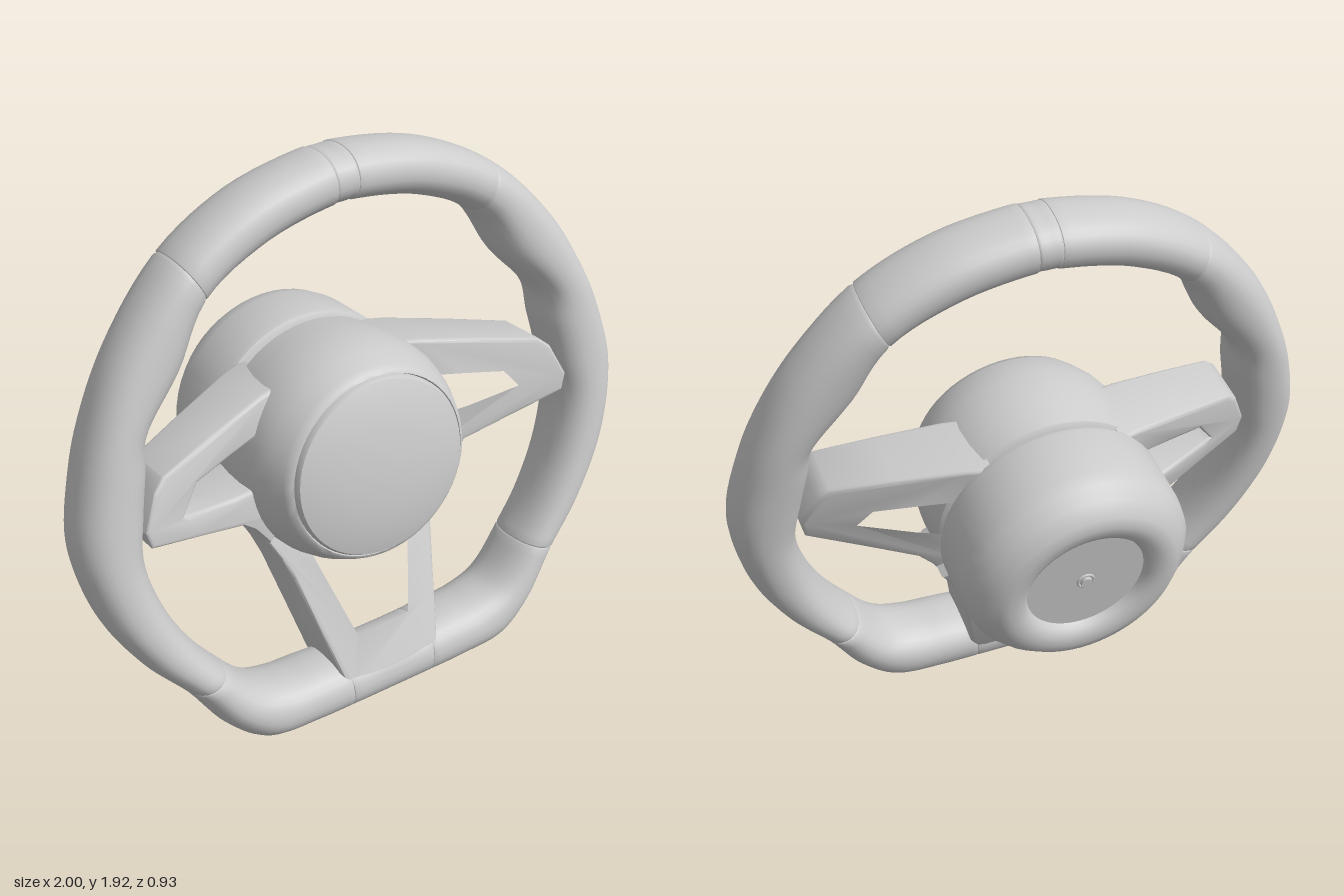
import * as THREE from 'three';
import { toCreasedNormals } from 'three/addons/utils/BufferGeometryUtils.js';

const TILT = 0.1745, MID_Y = 0.95, MID_Z = 0.18;
const local = (y) => (y - MID_Y) / Math.cos(TILT); // height -> position in the tilted wheel plane

const material = new THREE.MeshStandardMaterial({ color: 0xcccccc });

function addMesh(parent, name, geometry) {
  const mesh = new THREE.Mesh(geometry, material);
  mesh.name = name;
  parent.add(mesh);
  return mesh;
}

// Rim stations for the left half, top to bottom: outer x, y, inner x, y, half depth
const STATIONS = [
  [0, 1.92, 0, 1.75, 0.125], [0.04, 1.92, 0.035, 1.75, 0.125],
  [0.31, 1.87, 0.26, 1.705, 0.125], [0.56, 1.74, 0.48, 1.59, 0.125],
  [0.78, 1.51, 0.585, 1.41, 0.125], [0.91, 1.27, 0.72, 1.245, 0.125],
  [0.97, 1.1, 0.738, 1.13, 0.125], [1, 0.95, 0.765, 1.0, 0.125],
  [0.99, 0.82, 0.79, 0.84, 0.125], [0.94, 0.64, 0.75, 0.65, 0.125],
  [0.84, 0.46, 0.67, 0.48, 0.125], [0.715, 0.305, 0.58, 0.355, 0.125],
  [0.6, 0.13, 0.465, 0.237, 0.13], [0.48, 0.03, 0.36, 0.21, 0.135],
  [0.3, 0.01, 0.26, 0.205, 0.135], [0.155, 0.006, 0.165, 0.2, 0.132],
  [0, 0.004, 0, 0.2, 0.13],
];

function rimCurves() {
  const mirrored = STATIONS.slice(1, -1).reverse().map(([a, b, c, d, e]) => [-a, b, -c, d, e]);
  const all = [...STATIONS, ...mirrored];
  const curve = (f) => new THREE.CatmullRomCurve3(all.map(f), true, 'centripetal');
  return {
    count: all.length,
    outer: curve((s) => new THREE.Vector3(s[0], local(s[1]), s[4])),
    inner: curve((s) => new THREE.Vector3(s[2], local(s[3]), s[4])),
  };
}

// Sweeps a rounded section between two stations, drawn in slightly at the seams
function rimSection(curves, from, to, scale = 1) {
  const SIDES = 28, steps = Math.max(4, Math.round((to - from) * 6));
  const params = [from];
  for (let i = 0; i <= steps; i++) params.push(from + (to - from) * (0.006 + 0.988 * i / steps));
  params.push(to);
  const positions = [], index = [];
  params.forEach((p, row) => {
    const t = (((p / curves.count) % 1) + 1) % 1;
    const o = curves.outer.getPoint(t), n = curves.inner.getPoint(t);
    const s = scale * (row === 0 || row === params.length - 1 ? 0.95 : 1);
    for (let k = 0; k < SIDES; k++) {
      const a = k / SIDES * Math.PI * 2;
      const power = (c) => Math.sign(c) * Math.pow(Math.abs(c), 0.9);
      const r = 0.5 * s * power(Math.cos(a)), d = s * o.z * power(Math.sin(a));
      positions.push((o.x + n.x) / 2 + (o.x - n.x) * r, (o.y + n.y) / 2 + (o.y - n.y) * r, d);
      if (row < params.length - 1) {
        const A = row * SIDES + k, B = row * SIDES + (k + 1) % SIDES;
        index.push(A, B, A + SIDES, B, B + SIDES, A + SIDES);
      }
    }
  });
  const geometry = new THREE.BufferGeometry();
  geometry.setAttribute('position', new THREE.Float32BufferAttribute(positions, 3));
  geometry.setIndex(index);
  geometry.computeVertexNormals();
  return geometry;
}

// Turned part about the wheel axis, profile as [radius, depth] from back to front
function turned(profile) {
  const points = profile.map(([r, d]) => new THREE.Vector2(r, d));
  return toCreasedNormals(new THREE.LatheGeometry(points, 56).rotateX(Math.PI / 2), 0.7);
}

// Pierced spoke whose flat faces slope back from the rim to the hub; reach(x, y) runs outwards
function spoke(outline, hole, reach, tip, tipFront, tipBack) {
  const toPoints = (list) => list.map(([x, y]) => new THREE.Vector2(x, local(y)));
  const shape = new THREE.Shape(toPoints(outline));
  shape.holes.push(new THREE.Path(toPoints(hole)));
  const bevel = 0.014;
  const geometry = new THREE.ExtrudeGeometry(shape, {
    depth: 0.2 - 2 * bevel, bevelEnabled: true, bevelSize: bevel, bevelThickness: bevel,
    bevelOffset: -bevel, bevelSegments: 3,
  });
  const pos = geometry.attributes.position;
  for (let i = 0; i < pos.count; i++) {
    const f = (reach(pos.getX(i), pos.getY(i)) - 0.36) / (tip - 0.36);
    const front = THREE.MathUtils.lerp(-0.01, tipFront, f);
    const back = THREE.MathUtils.lerp(-0.245, tipBack, f);
    pos.setZ(i, THREE.MathUtils.lerp(back, front, (pos.getZ(i) + bevel) / 0.2));
    pos.setY(i, pos.getY(i) - front * Math.tan(TILT));
  }
  return toCreasedNormals(geometry, 0.6);
}

export function createModel() {
  const model = new THREE.Group();
  model.name = 'steeringWheel';
  const wheel = new THREE.Group();
  wheel.name = 'tiltedWheel';
  wheel.rotation.x = -TILT;
  wheel.position.set(0, MID_Y, MID_Z);
  model.add(wheel);

  // Rim, split at its seams
  const curves = rimCurves();
  const n = curves.count;
  [
    ['topMarker', -1, 1, 0.97],
    ['leftUpperRim', 1, 3], ['leftGrip', 3, 11], ['leftLowerRim', 11, 15],
    ['bottomPanel', 15, 17],
    ['rightLowerRim', 17, n - 11], ['rightGrip', n - 11, n - 3], ['rightUpperRim', n - 3, n - 1],
  ].forEach(([name, a, b, s]) => addMesh(wheel, name, rimSection(curves, a, b, s)));

  // Side spokes
  for (const side of [1, -1]) {
    const flip = (list) => list.map(([x, y]) => [x * side, y]);
    addMesh(wheel, side > 0 ? 'leftSpoke' : 'rightSpoke', spoke(
      flip([[0.22, 1.185], [0.3, 1.18], [0.5, 1.145], [0.7, 1.105], [0.74, 1.07], [0.79, 0.96],
        [0.775, 0.9], [0.6, 0.845], [0.43, 0.79], [0.385, 0.75], [0.33, 0.67], [0.22, 0.74]]),
      flip([[0.3, 1.065], [0.45, 1.045], [0.58, 1.025], [0.64, 0.945], [0.62, 0.935],
        [0.45, 0.9], [0.3, 0.88]]),
      (x) => Math.abs(x), 0.78, 0.09, -0.1));
  }

  // Forked lower spoke
  const half = [[0.31, 0.79], [0.375, 0.735], [0.33, 0.66], [0.295, 0.59], [0.27, 0.52], [0.225, 0.33],
    [0.19, 0.18], [0.165, 0.14], [0.14, 0.128]];
  const holeHalf = [[0.215, 0.63], [0.185, 0.52], [0.115, 0.29], [0.1, 0.28]];
  const mirrored = (list) => [...list, ...list.map(([x, y]) => [-x, y]).reverse()];
  addMesh(wheel, 'lowerSpoke', spoke(mirrored(half), mirrored(holeHalf),
    (x, y) => -y - 0.037, 0.8, 0.134, -0.125));

  // Hub with its domed pad
  const hub = new THREE.Group();
  hub.name = 'hub';
  hub.position.y = -0.043;
  wheel.add(hub);
  addMesh(hub, 'hubBody', turned([[0, -0.25], [0.35, -0.25], [0.37, -0.235], [0.38, -0.16], [0.384, -0.08],
    [0.378, 0], [0.362, 0.06], [0.335, 0.12], [0.322, 0.143], [0.312, 0.147], [0.306, 0.13]]));
  addMesh(hub, 'hubPad', turned([[0.306, 0.12], [0.308, 0.148], [0.3, 0.162], [0.25, 0.178], [0.16, 0.193],
    [0.08, 0.2], [0, 0.202]]));

  // Steering column housing with recessed back plate and bolt
  const column = new THREE.Group();
  column.name = 'column';
  column.position.y = -0.045;
  wheel.add(column);
  addMesh(column, 'columnHousing', turned([[0, -0.575], [0.195, -0.575], [0.2, -0.575], [0.21, -0.595],
    [0.235, -0.61], [0.27, -0.614], [0.305, -0.604], [0.345, -0.565], [0.375, -0.52], [0.384, -0.47],
    [0.384, -0.29], [0.378, -0.272], [0.362, -0.265], [0, -0.265]]));
  const bolt = addMesh(column, 'bolt', new THREE.CylinderGeometry(0.02, 0.02, 0.02, 6).rotateX(Math.PI / 2));
  bolt.position.z = -0.578;
  const washer = addMesh(column, 'boltCollar', new THREE.TorusGeometry(0.026, 0.005, 8, 24));
  washer.position.z = -0.576;

  return model;
}
